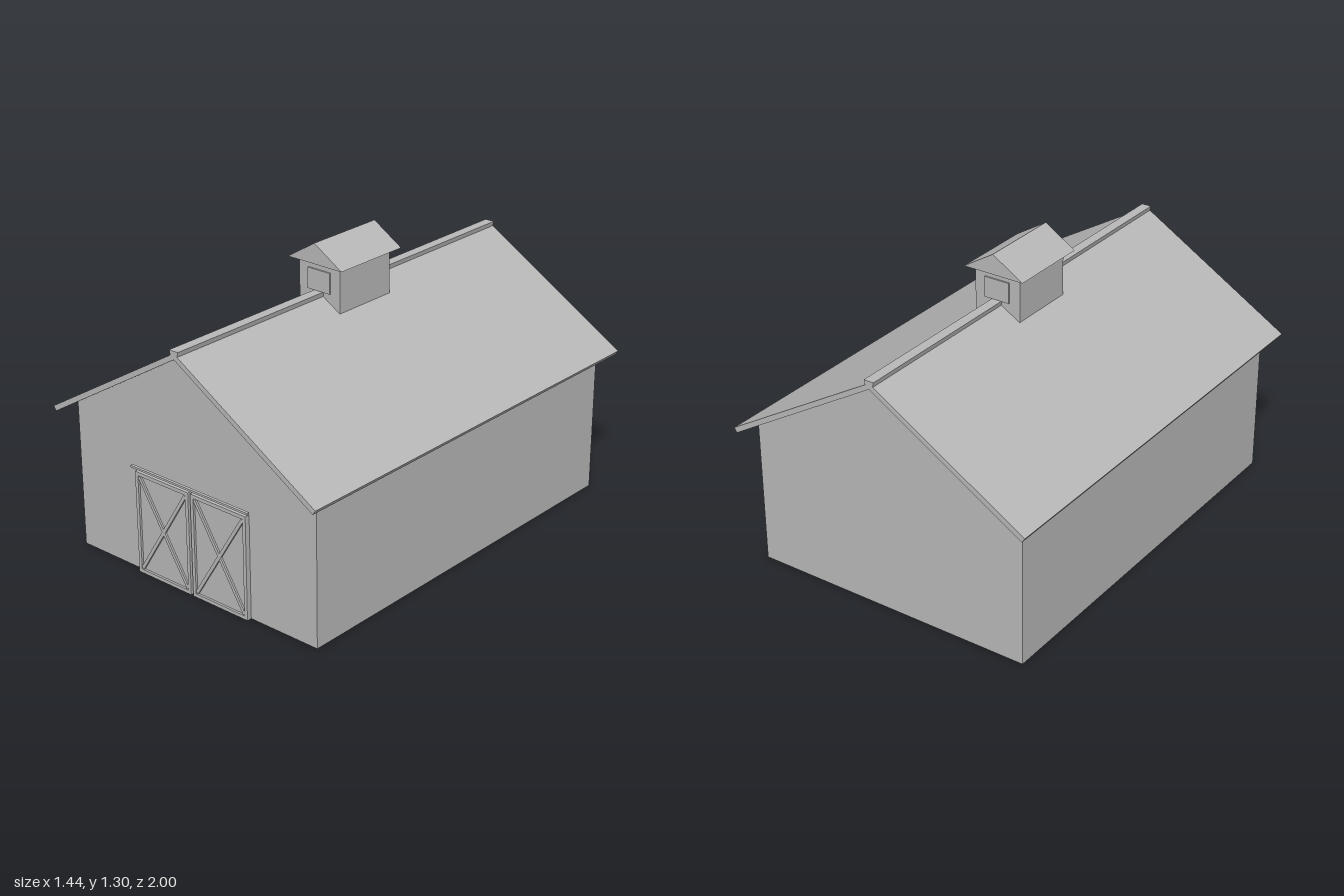
import * as THREE from 'three';

export function createModel() {
  const barn = new THREE.Group();
  barn.name = 'barn';
  const grey = new THREE.MeshStandardMaterial({ color: 0xb8b8b8 });
  grey.name = 'plain grey';

  const add = (parent, name, geometry, x = 0, y = 0, z = 0) => {
    const mesh = new THREE.Mesh(geometry, grey);
    mesh.name = name;
    mesh.position.set(x, y, z);
    parent.add(mesh);
    return mesh;
  };
  // Box given by its limits on each axis
  const box = (parent, name, x0, x1, y0, y1, z0, z1) =>
    add(parent, name, new THREE.BoxGeometry(x1 - x0, y1 - y0, z1 - z0),
      (x0 + x1) / 2, (y0 + y1) / 2, (z0 + z1) / 2);
  // Outline in x and y, extruded evenly about z = 0
  const prism = (parent, name, points, halfDepth) => {
    const shape = new THREE.Shape(points.map(([x, y]) => new THREE.Vector2(x, y)));
    const geometry = new THREE.ExtrudeGeometry(shape, { depth: halfDepth * 2, bevelEnabled: false });
    return add(parent, name, geometry.translate(0, 0, -halfDepth));
  };

  // Gabled body
  prism(barn, 'walls', [[-0.655, 0], [0.655, 0], [0.655, 0.661], [0, 1.054], [-0.655, 0.661]], 0.923);

  // Roof with overhang, and ridge cap
  prism(barn, 'roof', [[0, 1.08], [-0.718, 0.649], [-0.705, 0.629], [0, 1.054],
    [0.705, 0.629], [0.718, 0.649]], 1);
  prism(barn, 'ridgeCap', [[-0.018, 1.066], [0.018, 1.066], [0.023, 1.09], [-0.023, 1.09]], 1);

  // Cupola with a vent at each end
  const cupola = new THREE.Group();
  cupola.name = 'cupola';
  barn.add(cupola);
  box(cupola, 'cupolaWalls', -0.11, 0.11, 1.015, 1.217, -0.158, 0.158);
  prism(cupola, 'cupolaRoof', [[-0.145, 1.215], [0.145, 1.215], [0, 1.305]], 0.19);
  for (const side of [-1, 1]) {
    add(cupola, 'vent', new THREE.BoxGeometry(0.12, 0.092, 0.009), 0, 1.135, side * 0.1605);
  }

  // Pair of braced sliding doors
  for (const side of [-1, 1]) {
    const door = new THREE.Group();
    door.name = side < 0 ? 'rightDoor' : 'leftDoor';
    door.position.x = side * 0.156;
    barn.add(door);
    const w = 0.15, h = 0.462, f = 0.016, back = 0.92, face = 0.945;
    box(door, 'panel', -w + f, w - f, f, h - f, back, 0.935);
    box(door, 'stile', -w, -w + f, 0, h, back, face);
    box(door, 'stile', w - f, w, 0, h, back, face);
    box(door, 'bottomRail', -w + f, w - f, 0, f, back, face);
    box(door, 'topRail', -w + f, w - f, h - f, h, back, face);
    // Crossed braces fitted inside the frame
    const dx = 2 * (w - f), dy = h - 2 * f;
    for (const lean of [-1, 1]) {
      const brace = add(door, 'brace',
        new THREE.BoxGeometry(Math.hypot(dx, dy) - 0.012, 0.015, 0.014),
        0, h / 2, lean < 0 ? 0.936 : 0.9365);
      brace.rotation.z = lean * Math.atan2(dy, dx);
    }
  }
  // Track above the doors
  box(barn, 'doorTrack', -0.323, 0.323, 0.477, 0.486, 0.94, 0.953);

  return barn;
}
